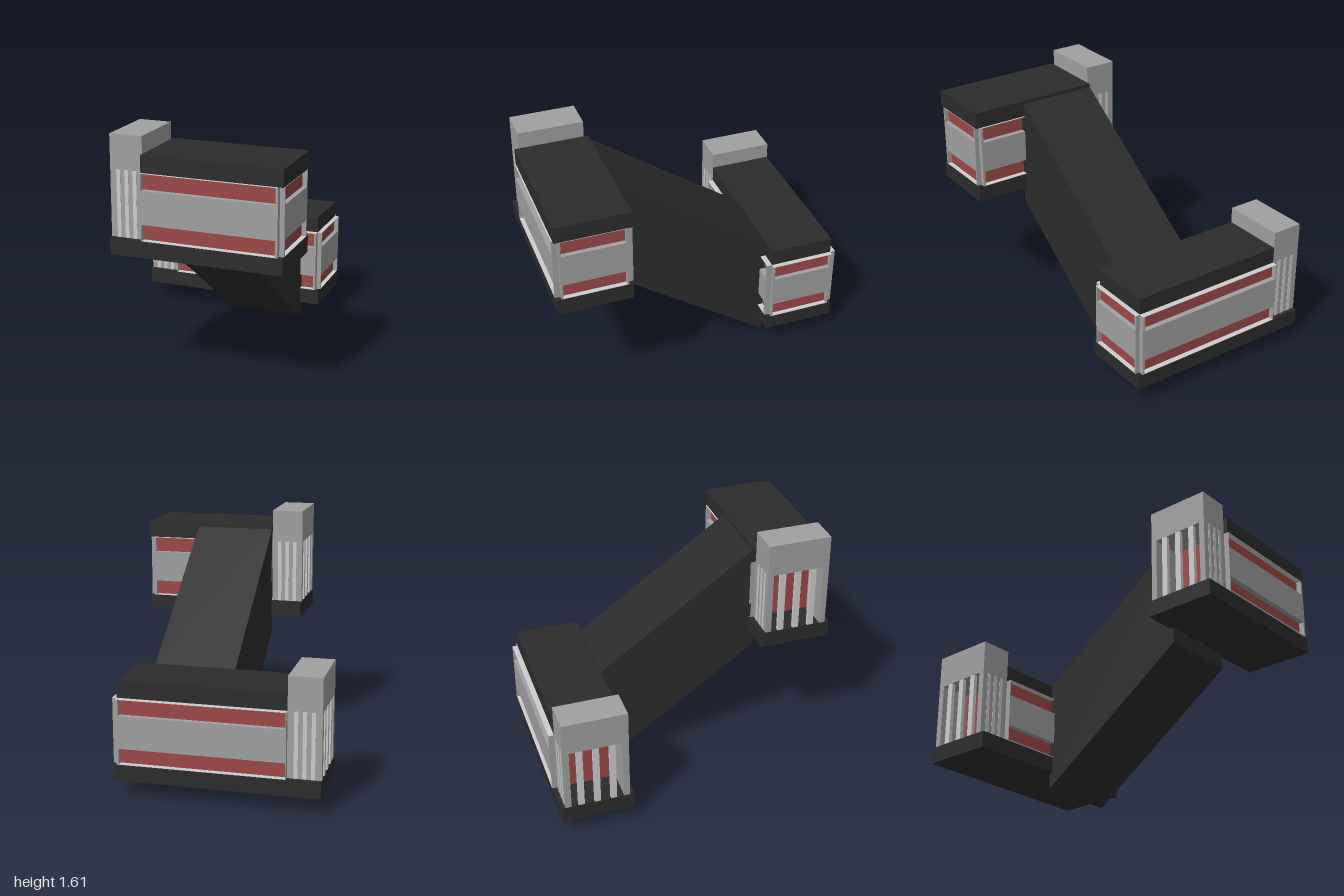
import * as THREE from 'three';

const mat = (name, color) => {
  const m = new THREE.MeshStandardMaterial({ color });
  m.name = name;
  return m;
};

export function createModel() {
  const dark = mat('charcoal', 0x2c2c2c);
  const grey = mat('grey', 0xa0a0a0);
  const light = mat('light grey', 0xcccccc);
  const red = mat('brick red', 0x9c4848);

  // box from its two corners
  const box = (parent, name, m, x0, x1, y0, y1, z0, z1) => {
    const mesh = new THREE.Mesh(new THREE.BoxGeometry(x1 - x0, y1 - y0, z1 - z0), m);
    mesh.position.set((x0 + x1) / 2, (y0 + y1) / 2, (z0 + z1) / 2);
    mesh.name = name;
    parent.add(mesh);
  };

  // one station: slab, brick hall, framed walls, roof and entrance tower
  // x positions: tower end, hall start, hall end; y is the underside
  function station(name, { xTower, xHall, xEnd, xBase, xRoof, y, z, roofHalf }) {
    const g = new THREE.Group();
    g.name = name;
    g.position.set(0, y, z);
    const H = 0.2125, F = 0.248, floor = 0.108, top = 0.532;
    box(g, 'base', dark, xTower, xBase, 0, floor, -0.24, 0.24);
    box(g, 'hall', red, xHall, xEnd, floor, top, -H, H);
    box(g, 'roof', dark, xHall, xRoof, top, 0.64, -roofHalf, roofHalf);

    // framed bands along both long walls
    for (const s of [-1, 1]) {
      const z0 = s > 0 ? H : -F, z1 = s > 0 ? F : -H;
      box(g, 'wallBand', grey, xHall, xEnd, 0.213, 0.425, z0, z1);
      box(g, 'wallPost', grey, xEnd - 0.015, xEnd, floor, top - 0.004, z0, z1);
      box(g, 'wallPost', grey, xHall, xHall + 0.004, floor, top - 0.004, z0, z1);
      box(g, 'topRail', light, xHall, xEnd, top - 0.004, top - 0.001, z0, z1);
      box(g, 'bottomRail', light, xHall, xEnd, floor + 0.001, floor + 0.004, z0, z1);
    }

    // framed band on the end wall
    const xOut = xEnd + 0.03;
    box(g, 'endBand', grey, xEnd, xOut, 0.213, 0.425, -H, H);
    for (const s of [-1, 1]) {
      const zc = s * (H - 0.006);
      box(g, 'endPost', grey, xEnd, xOut, floor, top - 0.004, zc - 0.006, zc + 0.006);
    }
    box(g, 'endTopRail', light, xEnd, xOut, top - 0.004, top - 0.001, -H, H);
    box(g, 'endBottomRail', light, xEnd, xOut, floor + 0.001, floor + 0.004, -H, H);

    // entrance tower, open at the end below its solid top
    box(g, 'towerTop', grey, xTower, xHall, top, 0.748, -H, H);
    const w = xHall - xTower;
    for (const s of [-1, 1]) {
      const zc = s * (H - 0.02);
      box(g, 'towerWall', grey, xTower, xHall, floor, top, zc - 0.02, zc + 0.02);
      for (const f of [0.25, 0.5, 0.75]) {
        const xc = xTower + w * f, zs = s * (H + 0.0005);
        box(g, 'wallStripe', light, xc - 0.0125, xc + 0.0125, floor, top, zs - 0.0015, zs + 0.0015);
      }
    }
    for (const f of [-0.5, 0, 0.5]) {
      const zc = H * f;
      box(g, 'entrancePillar', light, xTower, xTower + 0.025, floor, top, zc - 0.02, zc + 0.02);
    }
    return g;
  }

  const model = new THREE.Group();
  model.name = 'linkedStations';
  model.add(station('upperStation', {
    xTower: -0.34, xHall: -0.128, xEnd: 0.735, xBase: 0.765, xRoof: 0.765,
    y: 0.857, z: 0.747, roofHalf: 0.24,
  }));
  model.add(station('lowerStation', {
    xTower: -0.768, xHall: -0.555, xEnd: 0.514, xBase: 0.535, xRoof: 0.514,
    y: 0.11, z: -0.75, roofHalf: 0.2125,
  }));

  // sloping tunnel, a sheared box joining the stations
  const tunnel = new THREE.BoxGeometry(0.53, 0.746, 1.07);
  const p = tunnel.attributes.position;
  for (let i = 0; i < p.count; i++) p.setY(i, p.getY(i) + p.getZ(i) * 0.7);
  tunnel.computeVertexNormals();
  const tunnelMesh = new THREE.Mesh(tunnel, dark);
  tunnelMesh.name = 'slopingTunnel';
  tunnelMesh.position.set(0.137, 0.7475, 0);
  model.add(tunnelMesh);
  return model;
}
